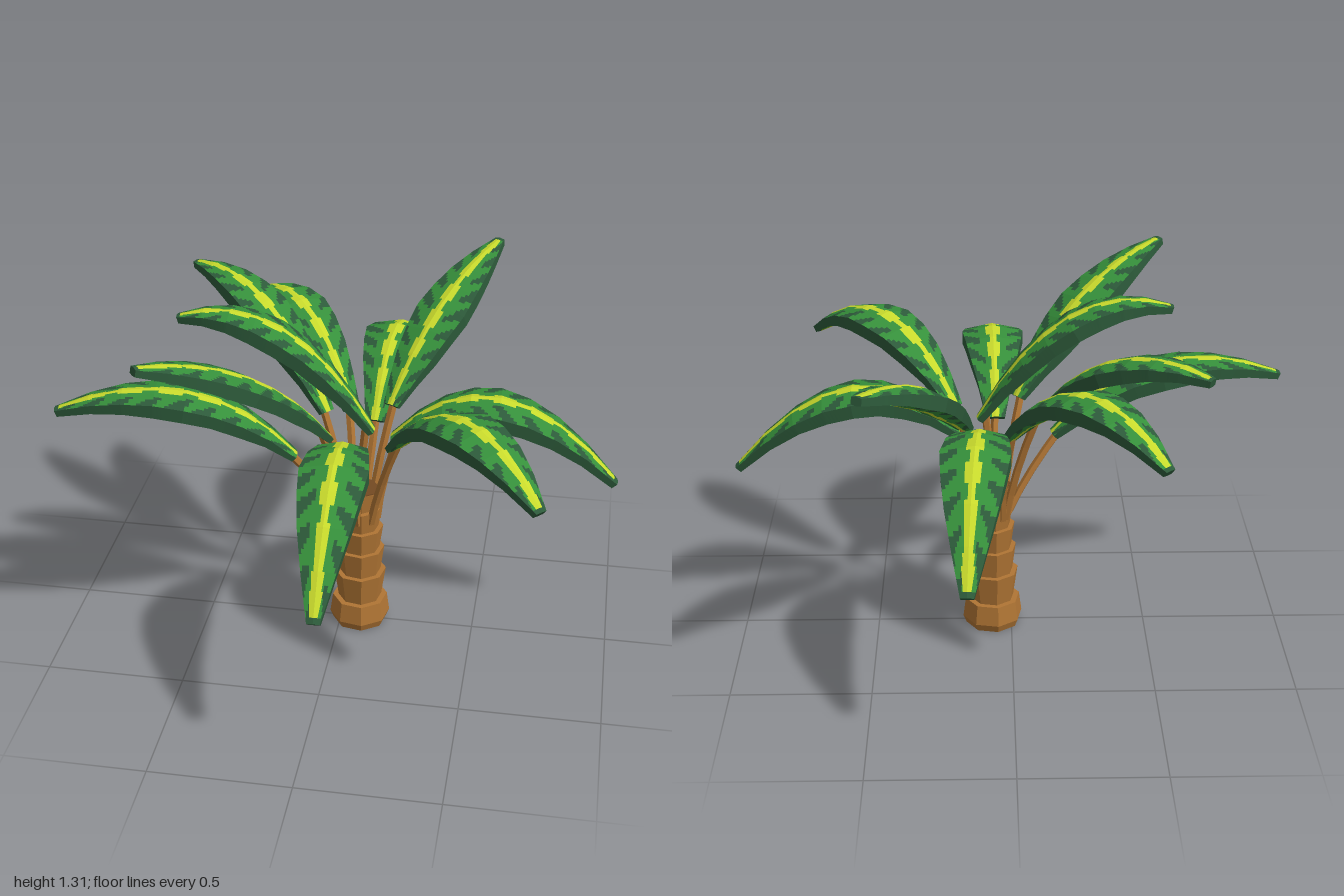
import * as THREE from 'three';

const flat = (name, color) => {
  const m = new THREE.MeshStandardMaterial({ color });
  m.name = name;
  m.flatShading = true;
  return m;
};

// Trunk axis
const CX = 0.071, CZ = -0.003;

// Leaves: base [x,y,z], tip [x,y,z], bend = control height, f = where the bend sits along the leaf, wide = width scale
const LEAVES = [
  { base: [0.18, 0.79, -0.02], tip: [0.99, 0.67, -0.03], bend: 1.17, f: 0.44, wide: 1 },
  { base: [0.2, 0.83, 0.12], tip: [0.745, 0.94, 0.66], bend: 1.27, f: 0.45, wide: 0.95 },
  { base: [0.055, 0.78, 0.13], tip: [0.07, 0.655, 0.975], bend: 1.2, f: 0.46, wide: 0.98 },
  { base: [-0.02, 0.86, 0.14], tip: [-0.57, 1.31, 0.6], bend: 1.22, f: 0.38, wide: 0.88 },
  { base: [-0.15, 0.74, 0.08], tip: [-0.99, 0.92, 0.21], bend: 1.11, f: 0.4, wide: 0.92 },
  { base: [0.12, 0.83, 0.02], tip: [-0.57, 1.24, 0.05], bend: 1.35, f: 0.45, wide: 0.82 },
  { base: [-0.06, 0.84, -0.07], tip: [-0.64, 1.2, -0.52], bend: 1.28, f: 0.42, wide: 0.8 },
  { base: [0.02, 0.82, -0.14], tip: [-0.49, 0.98, -0.73], bend: 1.29, f: 0.45, wide: 0.88 },
  { base: [0.1, 0.78, -0.14], tip: [0.155, 0.665, -0.97], bend: 1.2, f: 0.46, wide: 1 },
  { base: [0.16, 0.86, -0.12], tip: [0.485, 1.26, -0.775], bend: 1.17, f: 0.38, wide: 0.85 },
];

const STATIONS = 8, ROWS = 64, HALF = 8;

// Half width and rim thickness along the leaf, given as [position, value] steps
const WIDTH = [[0, 0.035], [0.12, 0.06], [0.3, 0.098], [0.5, 0.118], [0.7, 0.1], [0.88, 0.058], [1, 0.022]];
const THICK = [[0, 0.02], [0.25, 0.045], [0.6, 0.05], [1, 0.024]];
function sample(table, s) {
  let i = 1;
  while (i < table.length - 1 && s > table[i][0]) i++;
  const [s0, a] = table[i - 1], [s1, b] = table[i];
  return a + (b - a) * (s - s0) / (s1 - s0);
}

// Leaf pattern: 0 midrib, 1 blade, 2 dark slanted blotches growing in from the rim
function pattern(s, u, seed) {
  const a = Math.abs(u);
  if (s > 0.98) return 2;
  if (a < 0.2 + 0.04 * Math.sin(s * 40 + seed) + 1.6 * Math.max(0, s - 0.8) + 1.5 * Math.max(0, 0.12 - s)) return 0;
  const k = s * 9 - a * 0.9 + (u > 0 ? 0.45 : 0) + seed * 0.37;
  const cell = Math.floor(k), reach = 0.34 + 0.2 * Math.abs(Math.sin(cell * 2.3 + seed));
  const span = 0.28 + 0.36 * (a - reach) / (1 - reach);
  return a > reach && Math.abs(k - cell - 0.5) < span / 2 ? 2 : 1;
}

function leafGeometry({ base, tip, bend, f, wide }, seed) {
  const b = new THREE.Vector3(...base), t = new THREE.Vector3(...tip);
  const c = b.clone().lerp(t, f).setY(bend);
  const curve = new THREE.QuadraticBezierCurve3(b, c, t);
  const stations = [];
  for (let i = 0; i <= STATIONS; i++) {
    const s = i / STATIONS, tangent = curve.getTangent(s);
    const side = tangent.clone().cross(new THREE.Vector3(0, 1, 0)).normalize();
    const up = side.clone().cross(tangent).normalize();
    stations.push({ p: curve.getPoint(s), side, up, w: sample(WIDTH, s) * wide, h: sample(THICK, s) });
  }
  // ridged top, slightly keeled underside
  const at = (st, u, low) => st.p.clone()
    .addScaledVector(st.side, u * st.w)
    .addScaledVector(st.up, (1 - Math.abs(u)) * st.w * (low ? -0.12 : 0.2) + (low ? -st.h : 0));
  const point = (s, u, low) => {
    const k = Math.min(STATIONS - 1, Math.floor(s * STATIONS + 1e-6));
    return at(stations[k], u, low).lerp(at(stations[k + 1], u, low), s * STATIONS - k);
  };
  const faces = [[], [], []];
  const quad = (m, p, q, r, o, flip) => {
    const order = flip ? [p, r, q, p, o, r] : [p, q, r, p, r, o];
    for (const v of order) faces[m].push(v.x, v.y, v.z);
  };
  for (let i = 0; i < ROWS; i++) {
    const s0 = i / ROWS, s1 = (i + 1) / ROWS;
    // upper and lower faces
    for (let j = -HALF; j < HALF; j++) {
      const u0 = j / HALF, u1 = (j + 1) / HALF;
      const m = pattern((s0 + s1) / 2, (u0 + u1) / 2, seed);
      for (const low of [false, true])
        quad(m, point(s0, u0, low), point(s0, u1, low), point(s1, u1, low), point(s1, u0, low), low);
    }
    // rim
    for (const u of [-1, 1])
      quad(2, point(s0, u, true), point(s1, u, true), point(s1, u, false), point(s0, u, false), u > 0 ? false : true);
  }
  // blunt ends
  for (const s of [0, 1])
    for (const u of [-1, 0])
      quad(2, point(s, u, true), point(s, u + 1, true), point(s, u + 1, false), point(s, u, false), s === 1);
  const g = new THREE.BufferGeometry();
  g.setAttribute('position', new THREE.Float32BufferAttribute(faces.flat(), 3));
  let start = 0;
  faces.forEach((list, m) => {
    g.addGroup(start, list.length / 3, m);
    start += list.length / 3;
  });
  g.computeVertexNormals();
  return g;
}

export function createModel() {
  const model = new THREE.Group();
  model.name = 'palm';
  const bark = flat('bark', 0xb07534), darkBark = flat('dark bark', 0x744a22);
  const leafMaterials = [flat('midrib yellow', 0xc8da2c), flat('leaf green', 0x36903b), flat('dark leaf green', 0x2d5a3a)];
  const add = (name, geometry, material, parent) => {
    const mesh = new THREE.Mesh(geometry, material);
    mesh.name = name;
    parent.add(mesh);
    return mesh;
  };

  // Trunk: flared foot and stacked cups, each wider at its top
  const trunk = new THREE.Group();
  trunk.name = 'trunk';
  trunk.position.set(CX, 0, CZ);
  model.add(trunk);
  const ring = (name, y0, y1, r0, r1, material = bark) => {
    const mesh = add(name, new THREE.CylinderGeometry(r1, r0, y1 - y0, 8), material, trunk);
    mesh.position.y = (y0 + y1) / 2;
    mesh.rotation.y = 0.2;
  };
  ring('footBottom', 0, 0.03, 0.1, 0.112);
  ring('footTop', 0.03, 0.105, 0.112, 0.102);
  ring('trunkRing', 0.1, 0.22, 0.08, 0.097);
  ring('trunkRing', 0.21, 0.32, 0.076, 0.09);
  ring('trunkRing', 0.31, 0.41, 0.071, 0.085);
  ring('trunkRing', 0.4, 0.495, 0.066, 0.079);
  ring('trunkRing', 0.485, 0.57, 0.058, 0.07);
  ring('crown', 0.568, 0.574, 0.068, 0.068, darkBark);

  // Fronds: a stalk from the trunk and a thick painted leaf
  LEAVES.forEach((leaf, i) => {
    const frond = new THREE.Group();
    frond.name = 'frond';
    model.add(frond);
    const base = new THREE.Vector3(...leaf.base);
    const out = new THREE.Vector3(leaf.tip[0] - CX, 0, leaf.tip[2] - CZ).normalize();
    const root = new THREE.Vector3(CX, 0.45, CZ).addScaledVector(out, 0.062);
    const mid = root.clone().lerp(base, 0.5).addScaledVector(out, -0.012);
    const end = new THREE.Vector3(...leaf.tip).lerp(base, 0.96).setY(base.y + 0.015);
    const path = new THREE.QuadraticBezierCurve3(root, mid, end);
    add('stalk', new THREE.TubeGeometry(path, 4, 0.015, 5), bark, frond);
    add('leaf', leafGeometry(leaf, i), leafMaterials, frond);
  });
  return model;
}
